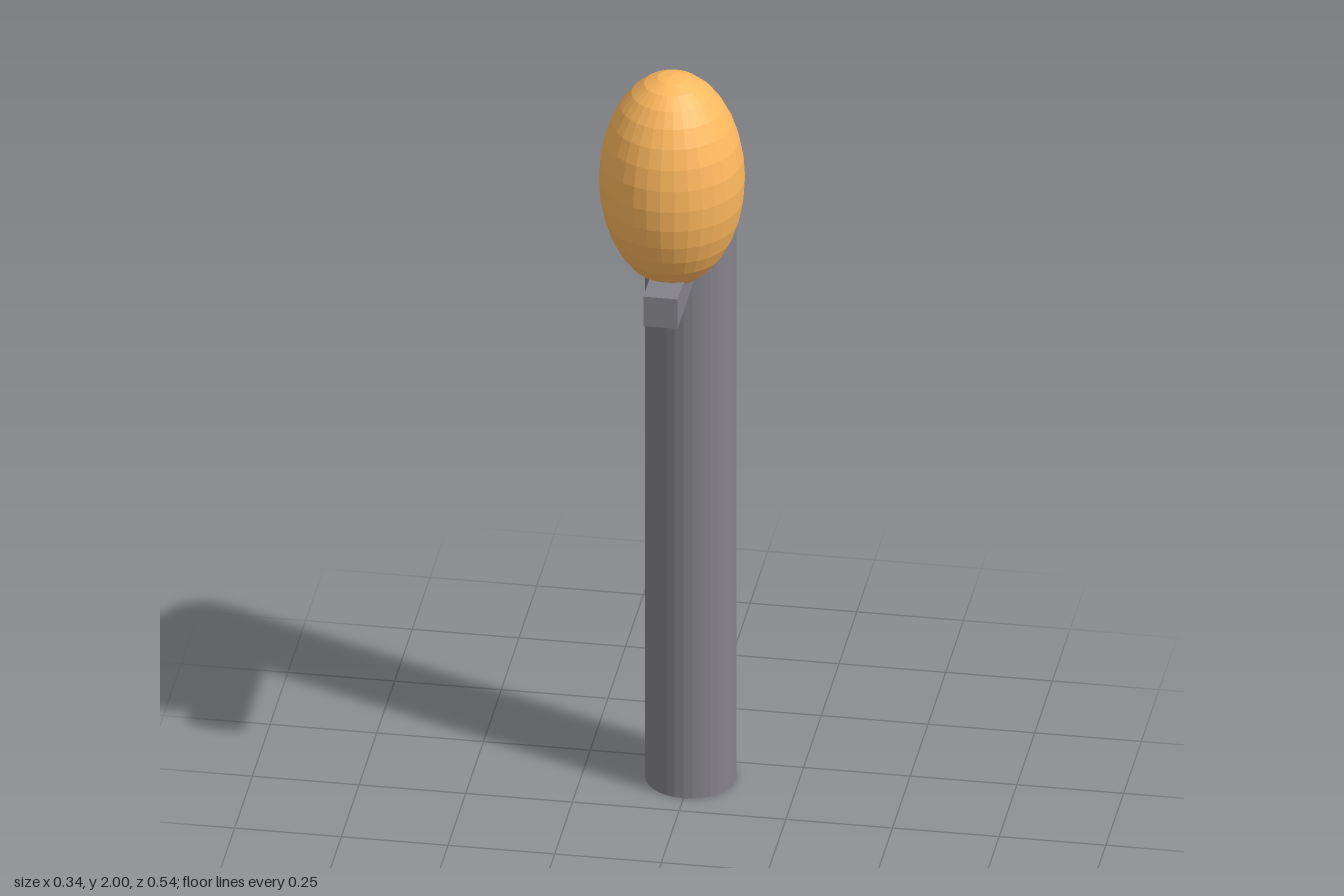
import * as THREE from 'three';

const grey = new THREE.MeshStandardMaterial({ color: 0x85838a, flatShading: true });
const amber = new THREE.MeshStandardMaterial({ color: 0xffb95f, flatShading: true });

function addPart(group, name, geometry, material, x, y, z) {
  const mesh = new THREE.Mesh(geometry, material);
  mesh.name = name;
  mesh.position.set(x, y, z);
  group.add(mesh);
  return mesh;
}

export function createModel() {
  const group = new THREE.Group();
  group.name = 'lampPost';

  // Upright round post at the back
  const postHeight = 1.595;
  addPart(group, 'post', new THREE.CylinderGeometry(0.106, 0.106, postHeight, 32), grey, 0, postHeight / 2, -0.166);

  // Square arm reaching forward, set slightly into the post
  const armBack = -0.08, armFront = 0.262;
  addPart(group, 'arm', new THREE.BoxGeometry(0.08, 0.078, armFront - armBack), grey, 0, 1.461, (armBack + armFront) / 2);

  // Faceted egg-shaped lamp resting in the arm
  const lamp = addPart(group, 'lamp', new THREE.SphereGeometry(0.169, 32, 16), amber, 0, 1.73, 0.1);
  lamp.scale.y = 1.6;

  return group;
}
